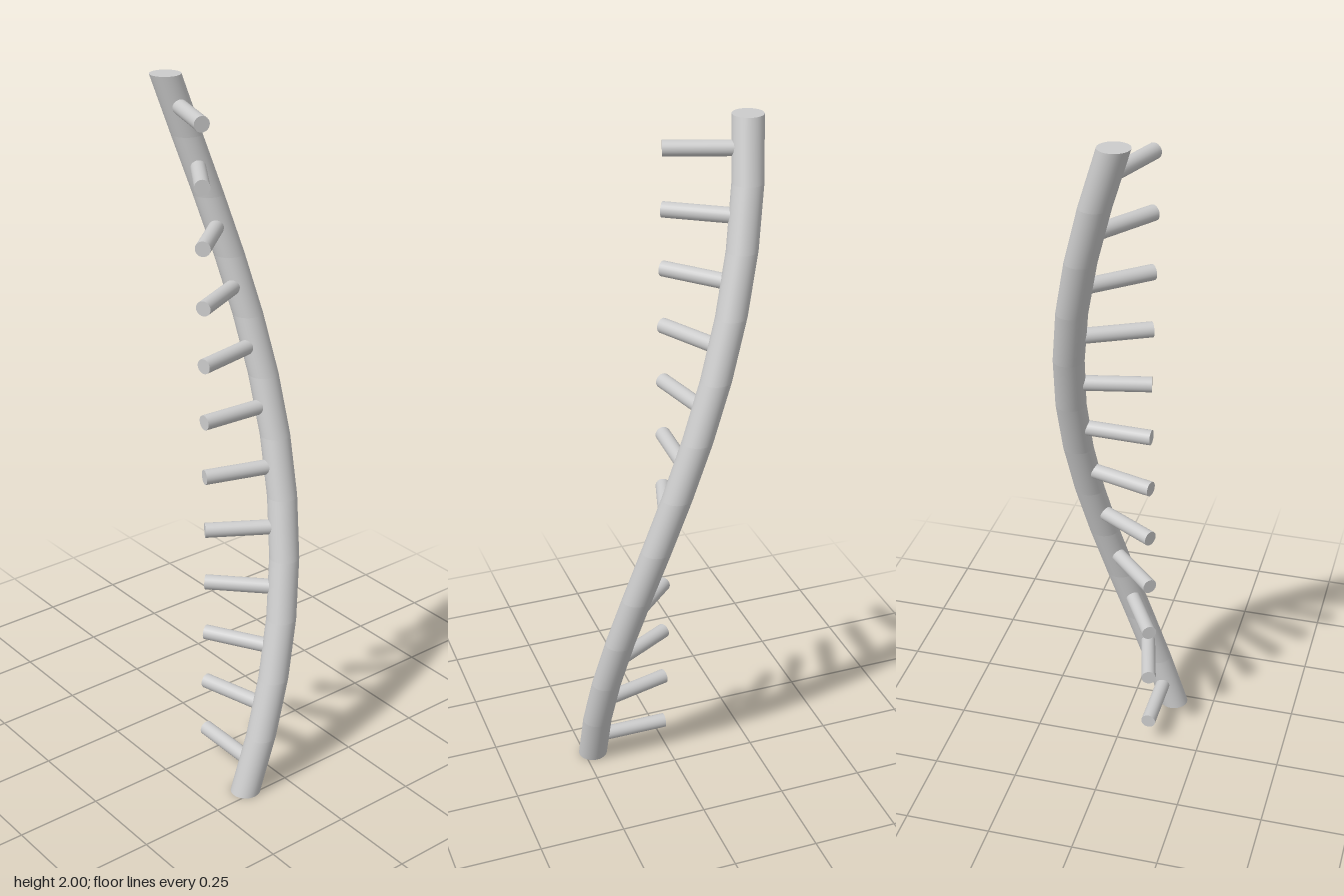
import * as THREE from 'three';

const STEPS = 12;                              // rail segments, one rung each
const RISE = 2 / STEPS;
const TURN = THREE.MathUtils.degToRad(14.6);   // turn per segment
const AXIS_Z = 0.098;
const HELIX_R = 0.225, RAIL_R = 0.043, RUNG_R = 0.0215, RUNG_LENGTH = 0.21;

// Point on the helix; step 0 is the foot, step 12 the top
function helixPoint(step) {
  const a = (step - 0.5) * TURN;
  return new THREE.Vector3(HELIX_R * Math.cos(a), step * RISE, AXIS_Z - HELIX_R * Math.sin(a));
}

export function createModel() {
  const model = new THREE.Group();
  model.name = 'helixStrand';
  const material = new THREE.MeshStandardMaterial({ color: 0xcccccc });
  const add = (parent, name, geometry) => {
    const mesh = new THREE.Mesh(geometry, material);
    mesh.name = name;
    parent.add(mesh);
    return mesh;
  };

  // Rail: slanted cylinders whose horizontal ends meet exactly
  const rail = new THREE.Group();
  rail.name = 'rail';
  model.add(rail);
  for (let i = 0; i < STEPS; i++) {
    const a = helixPoint(i), b = helixPoint(i + 1);
    const d = b.clone().sub(a), mid = a.clone().add(b).multiplyScalar(0.5);
    const shear = new THREE.Matrix4().set(
      1, d.x / d.y, 0, mid.x,
      0, 1, 0, mid.y,
      0, d.z / d.y, 1, mid.z,
      0, 0, 0, 1);
    const segment = new THREE.CylinderGeometry(RAIL_R, RAIL_R, RISE, 32, 1, true);
    add(rail, 'railSegment', segment.applyMatrix4(shear));
  }

  // Flat caps at the foot and top of the rail
  for (const [name, step, tilt] of [['footCap', 0, Math.PI / 2], ['topCap', STEPS, -Math.PI / 2]]) {
    const cap = add(rail, name, new THREE.CircleGeometry(RAIL_R, 32).rotateX(tilt));
    cap.position.copy(helixPoint(step));
  }

  // Rungs: from the central axis into the middle of each rail segment
  const rungGeometry = new THREE.CylinderGeometry(RUNG_R, RUNG_R, RUNG_LENGTH, 24)
    .rotateZ(-Math.PI / 2).translate(RUNG_LENGTH / 2, 0, 0);
  for (let i = 0; i < STEPS; i++) {
    const rung = add(model, 'rung', rungGeometry);
    rung.position.set(0, (i + 0.5) * RISE, AXIS_Z);
    rung.rotation.y = i * TURN;
  }
  return model;
}
